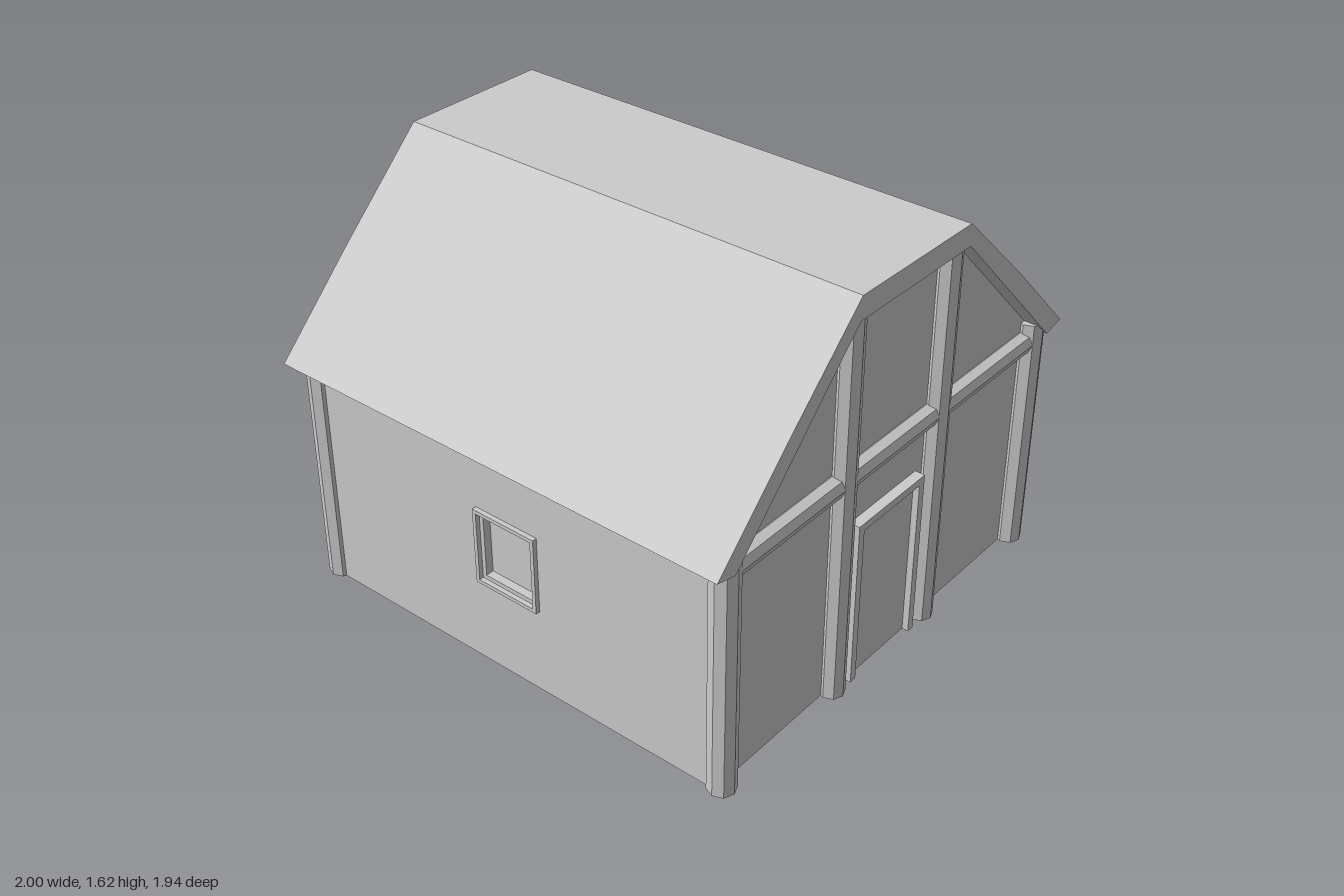
import * as THREE from 'three';

const material = new THREE.MeshStandardMaterial({ color: 0xcccccc, flatShading: true });

export function createModel() {
  const barn = new THREE.Group();

  const add = (name, geometry, x = 0, y = 0, z = 0, parent = barn) => {
    const mesh = new THREE.Mesh(geometry, material);
    mesh.name = name;
    mesh.position.set(x, y, z);
    parent.add(mesh);
    return mesh;
  };
  const outline = (points) => new THREE.Shape(points.map(([x, y]) => new THREE.Vector2(x, y)));
  const rect = (x0, y0, x1, y1) => outline([[x0, y0], [x1, y0], [x1, y1], [x0, y1]]);
  const extrude = (shape, depth) => new THREE.ExtrudeGeometry(shape, { depth, bevelEnabled: false });
  const withHole = (shape, hole) => {
    shape.holes.push(hole);
    return shape;
  };

  const wallX = 0.912, wallZ = 0.9, skin = 0.04;
  const windowY = 0.505;

  // Solid body with gable ends; the side skins carry the window openings
  const coreX = wallX - skin;
  const body = outline([[-coreX, 0], [coreX, 0], [coreX, 0.96], [0.31, 1.54], [-0.31, 1.54], [-coreX, 0.96]]);
  add('body', extrude(body, 2 * wallZ), 0, 0, -wallZ);

  // Roof shell with a flat ridge and steep flanks
  const roof = outline([
    [-1, 0.94], [-0.91, 0.92], [-0.31, 1.53], [0.31, 1.53], [0.91, 0.92], [1, 0.94],
    [0.665, 1.275], [0.305, 1.615], [-0.305, 1.62], [-0.665, 1.275],
  ]);
  add('roof', extrude(roof, 1.94), 0, 0, -0.97);

  // Side walls, each with a framed window
  for (const side of [1, -1]) {
    const wall = new THREE.Group();
    wall.name = side > 0 ? 'leftWall' : 'rightWall';
    wall.rotation.y = side * Math.PI / 2;
    wall.position.x = side * coreX;
    barn.add(wall);

    const panel = withHole(rect(-wallZ, 0, wallZ, 0.93),
      rect(-0.125, windowY - 0.14, 0.125, windowY + 0.14));
    add('wallPanel', extrude(panel, skin), 0, 0, 0, wall);

    const outer = withHole(rect(-0.14, -0.155, 0.14, 0.155), rect(-0.125, -0.14, 0.125, 0.14));
    add('windowFrame', extrude(outer, 0.02), 0, windowY, skin - 0.002, wall);
    const inner = withHole(rect(-0.125, -0.14, 0.125, 0.14), rect(-0.108, -0.123, 0.108, 0.123));
    add('windowSash', extrude(inner, 0.04), 0, windowY, 0, wall);
    add('windowPane', new THREE.BoxGeometry(0.23, 0.26, 0.01), 0, windowY, 0.003, wall);

    // Beam under the eaves
    const beam = add('eaveBeam', new THREE.CylinderGeometry(0.045, 0.045, 1.8, 8), side * 0.88, 0.89, 0);
    beam.rotation.x = Math.PI / 2;
  }

  // Eight-sided posts and cross beam on both gable ends
  for (const end of [1, -1]) {
    for (const side of [1, -1]) {
      add('cornerPost', new THREE.CylinderGeometry(0.053, 0.053, 0.97, 8), side * 0.887, 0.485, end * 0.912);
      add('gablePost', new THREE.CylinderGeometry(0.05, 0.05, 1.54, 8), side * 0.275, 0.77, end * 0.912);
    }
    const beam = add('gableBeam', new THREE.CylinderGeometry(0.045, 0.045, 1.76, 8), 0, 0.89, end * 0.905);
    beam.rotation.z = Math.PI / 2;
  }

  // Front door: panel inside a raised surround
  const surround = outline([
    [-0.2, 0], [-0.17, 0], [-0.17, 0.645], [0.16, 0.645],
    [0.16, 0], [0.19, 0], [0.19, 0.675], [-0.2, 0.675],
  ]);
  add('doorFrame', extrude(surround, 0.05), 0, 0, 0.89);
  add('door', new THREE.BoxGeometry(0.33, 0.645, 0.03), -0.005, 0.3225, 0.9);

  return barn;
}
